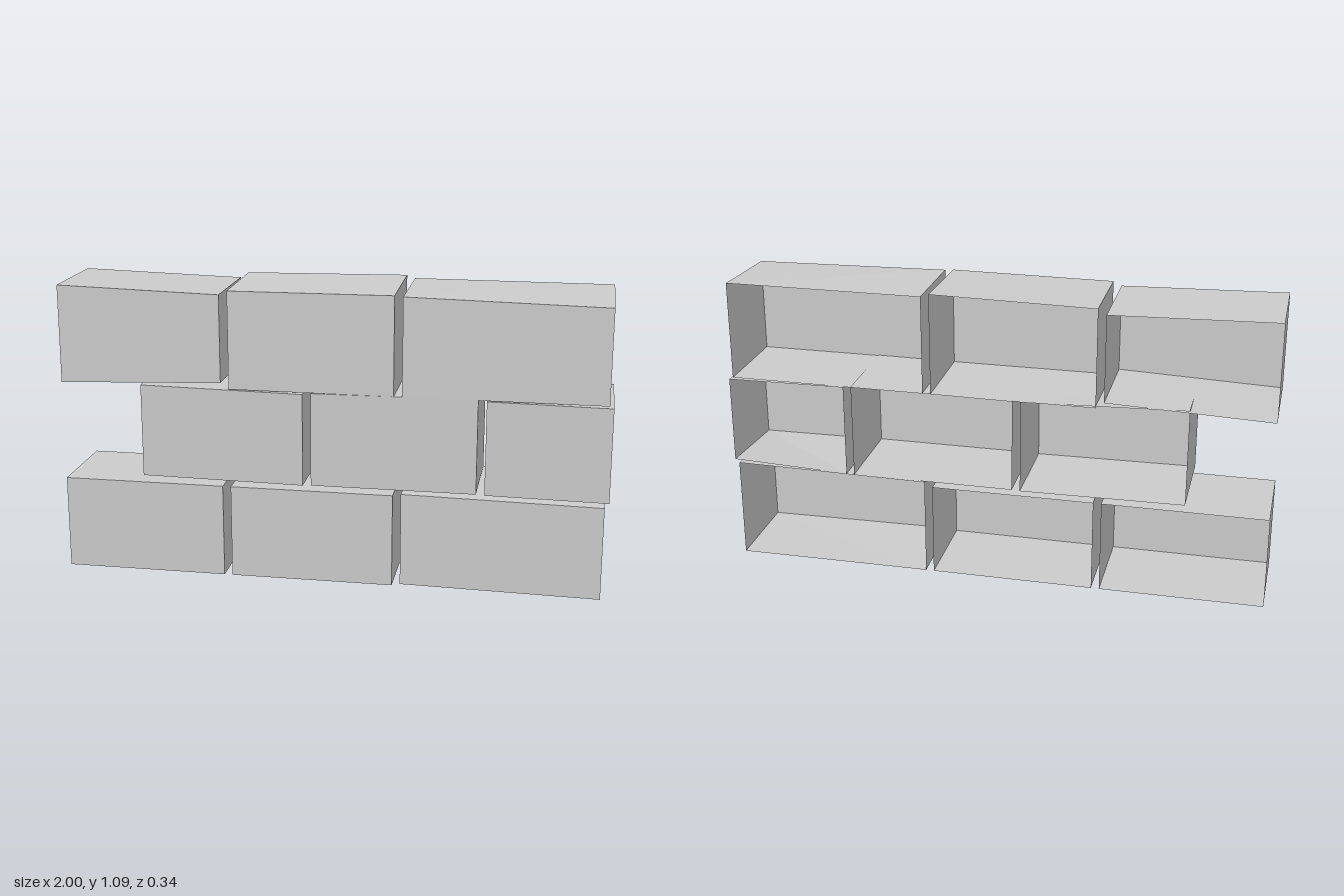
import * as THREE from 'three';

const DEPTH = 0.172; // half thickness of the wall

// A hollow brick, open at the back. Corner heights run
// front left, front right, back left, back right (low x to high x).
function brick(name, x0, x1, bottom, top, material) {
  const geometry = new THREE.BoxGeometry(1, 1, 1).toNonIndexed();
  const pos = geometry.attributes.position;
  for (let i = 0; i < pos.count; i++) {
    const right = pos.getX(i) > 0, back = pos.getZ(i) < 0;
    const corner = (right ? 1 : 0) + (back ? 2 : 0);
    const heights = pos.getY(i) > 0 ? top : bottom;
    pos.setXYZ(i, right ? x1 : x0, heights[corner], back ? -DEPTH : DEPTH);
  }
  // The back face is the last six vertices of the box
  const open = new THREE.BufferGeometry();
  open.setAttribute('position', new THREE.BufferAttribute(pos.array.slice(0, 30 * 3), 3));
  open.computeVertexNormals();
  const mesh = new THREE.Mesh(open, material);
  mesh.name = name;
  return mesh;
}

const flat = (y) => [y, y, y, y];

export function createModel() {
  const wall = new THREE.Group();
  wall.name = 'brickWall';
  const material = new THREE.MeshStandardMaterial({
    color: 0xcccccc, flatShading: true, side: THREE.DoubleSide,
  });

  // Each course lists bricks as [x0, x1, bottom corners, top corners]
  const courses = {
    lowerCourse: [
      [-1, -0.4, flat(0.003), flat(0.35)],
      [-0.37, 0.23, flat(0.003), flat(0.35)],
      [0.26, 0.985, [0.01, 0, 0.003, 0], [0.357, 0.347, 0.368, 0.375]],
    ],
    middleCourse: [
      [-0.7, -0.1, [0.377, 0.37, 0.377, 0.37], [0.722, 0.713, 0.738, 0.718]],
      [-0.07, 0.53, flat(0.372), [0.718, 0.722, 0.718, 0.722]],
      [0.56, 1, [0.37, 0.365, 0.372, 0.389], [0.717, 0.712, 0.717, 0.712]],
    ],
    upperCourse: [
      [-1, -0.4, [0.72, 0.742, 0.72, 0.742], [1.081, 1.065, 1.081, 1.065]],
      [-0.37, 0.23, flat(0.72), [1.08, 1.083, 1.085, 1.094]],
      [0.26, 0.985, flat(0.72), [1.08, 1.066, 1.083, 1.083]],
    ],
  };

  for (const [name, bricks] of Object.entries(courses)) {
    const course = new THREE.Group();
    course.name = name;
    bricks.forEach(([x0, x1, bottom, top], i) =>
      course.add(brick(`${name}Brick${i + 1}`, x0, x1, bottom, top, material)));
    wall.add(course);
  }
  return wall;
}
